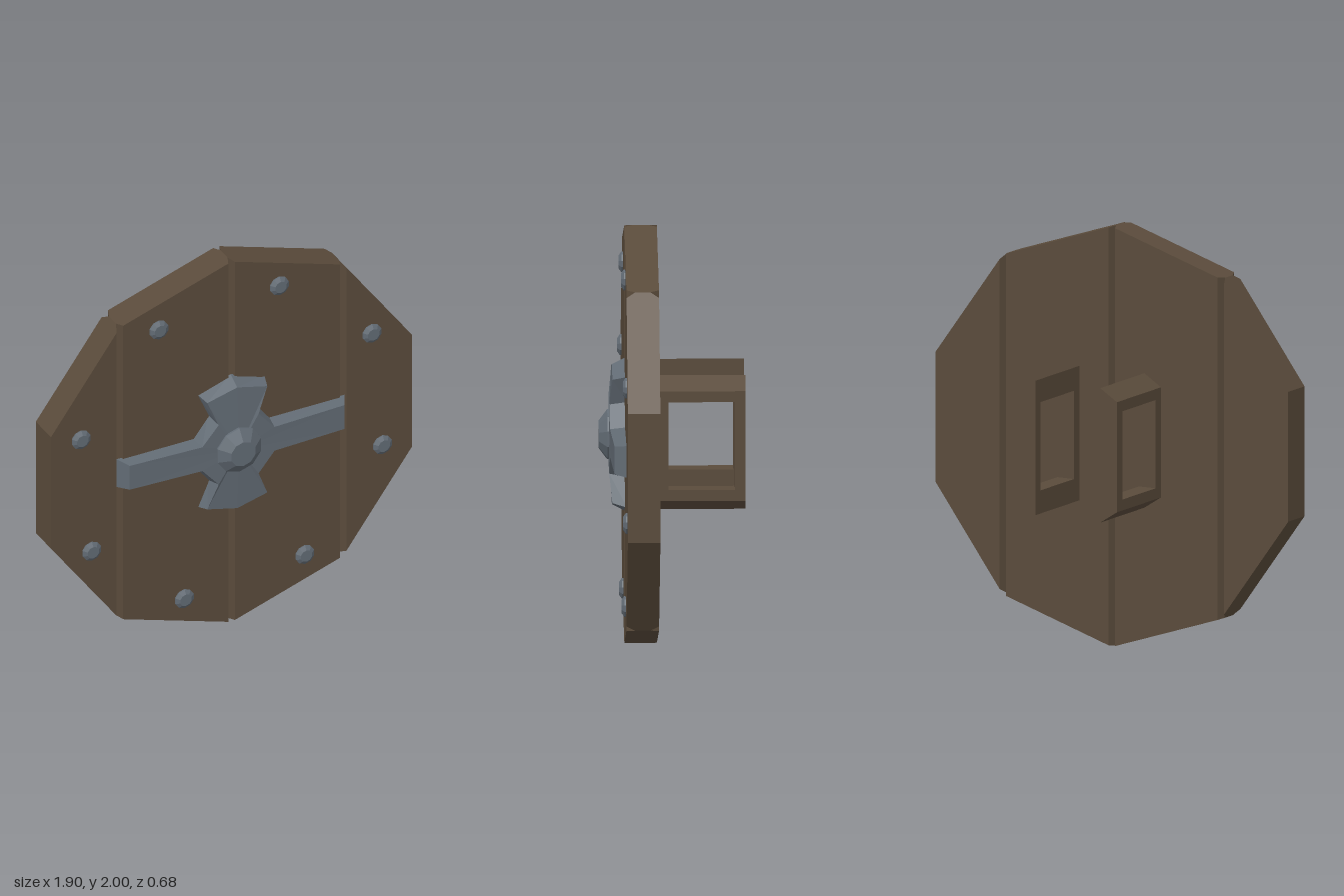
import * as THREE from 'three';

const wood = new THREE.MeshStandardMaterial({ color: 0x5a4b3b });
wood.name = 'dark wood';
const metal = new THREE.MeshStandardMaterial({ color: 0x626b74 });
metal.name = 'iron';

const BACK = 0.07, FRONT = 0.222, MID = (BACK + FRONT) / 2, HALF = (FRONT - BACK) / 2;
const RIM = [0, 1, 2].map((k) => Math.sin((k * Math.PI) / 5)); // rim corners: 0, 0.588, 0.951
const RIM_Y = [1, 0.809, 0.309];

// Hard-edged mesh from any geometry
function part(name, geometry, material) {
  const g = geometry.index ? geometry.toNonIndexed() : geometry;
  g.computeVertexNormals();
  const mesh = new THREE.Mesh(g, material);
  mesh.name = name;
  return mesh;
}

function moveVertices(geometry, rule) {
  const p = geometry.attributes.position;
  const v = new THREE.Vector3();
  for (let i = 0; i < p.count; i++) {
    rule(v.fromBufferAttribute(p, i));
    p.setXYZ(i, v.x, v.y, v.z);
  }
  return geometry;
}

const polygon = (pts) => pts.map(([x, y]) => new THREE.Vector2(x, y));

// Half height of the ten-sided outline at x
function rimHeight(x) {
  const a = Math.abs(x);
  const k = a <= RIM[1] ? 0 : 1;
  return THREE.MathUtils.lerp(RIM_Y[k], RIM_Y[k + 1], (a - RIM[k]) / (RIM[k + 1] - RIM[k]));
}

// Plank with edges bevelled front and back; its ends follow the rim
function plank(k, side) {
  const c = 0.017, t = 0.035, a = RIM[k], b = RIM[k + 1];
  const pts = [[a, -t], [a + c, -HALF]];
  if (k === 0) pts.push([b - c, -HALF], [b, -t], [b, t], [b - c, HALF]);
  else pts.push([b, -HALF], [b, HALF]);
  pts.push([a + c, HALF], [a, t]);
  const shape = new THREE.Shape(polygon(pts.map(([x, z]) => [x * side, z])));
  const g = new THREE.ExtrudeGeometry(shape, { depth: 1, bevelEnabled: false });
  g.rotateX(-Math.PI / 2);
  moveVertices(g, (v) => {
    v.y = 1 + (v.y > 0.5 ? 1 : -1) * rimHeight(v.x);
    v.z += MID;
  });
  return part('plank', g, wood);
}

// Square loop handle, shorter on its outer face
function handle(side) {
  const near = 0.175, width = 0.09;
  const shape = new THREE.Shape(polygon([[-BACK, 0.68], [0.34, 0.68], [0.34, 1.32], [-BACK, 1.32]]));
  shape.holes.push(new THREE.Path(polygon([[-0.02, 0.79], [-0.02, 1.21], [0.29, 1.21], [0.29, 0.79]])));
  const g = new THREE.ExtrudeGeometry(shape, { depth: width, bevelEnabled: false });
  g.rotateY(Math.PI / 2);
  g.translate(side > 0 ? near : -near - width, 0, 0);
  moveVertices(g, (v) => {
    const outer = Math.abs(v.x) > near + width / 2;
    if (outer && Math.abs(v.y - 1) > 0.25) v.y = 1 + Math.sign(v.y - 1) * 0.262;
  });
  return part('handle', g, wood);
}

// Bevelled iron cross: base outline, raised outline and a centre point
function cross() {
  const quarter = [ // base x, y, then raised x, y, z
    [0.6, 0.077, 0.565, 0.066, 0.277],
    [0.2, 0.077, 0.19, 0.066, 0.292],
    [0.12, 0.18, 0.105, 0.165, 0.294],
    [0.178, 0.312, 0.158, 0.295, 0.28],
    [0, 0.37, 0, 0.335, 0.28],
  ];
  const mirrored = quarter.slice(0, 4).reverse().map(([x, y, u, v, z]) => [-x, y, -u, v, z]);
  const half = [...quarter, ...mirrored];
  const loop = [...half, ...half.map(([x, y, u, v, z]) => [-x, -y, -u, -v, z])];
  const pos = [];
  loop.forEach((p, i) => {
    const q = loop[(i + 1) % loop.length];
    const p0 = [p[0], p[1] + 1, FRONT - 0.01], q0 = [q[0], q[1] + 1, FRONT - 0.01];
    const p1 = [p[2], p[3] + 1, p[4]], q1 = [q[2], q[3] + 1, q[4]];
    pos.push(...p0, ...q0, ...q1, ...p0, ...q1, ...p1, 0, 1, 0.298, ...p1, ...q1);
  });
  const g = new THREE.BufferGeometry();
  g.setAttribute('position', new THREE.Float32BufferAttribute(pos, 3));
  return part('ironCross', g, metal);
}

// Tapered stud pointing forward
function stud(name, x, y, z0, z1, rTop, rBase) {
  const g = new THREE.CylinderGeometry(rTop, rBase, z1 - z0, 10);
  g.rotateX(Math.PI / 2);
  g.translate(x, y, (z0 + z1) / 2);
  return part(name, g, metal);
}

export function createModel() {
  const model = new THREE.Group();
  model.name = 'shield';

  for (const side of [-1, 1]) {
    model.add(plank(0, side), plank(1, side), handle(side));
  }

  model.add(cross());
  model.add(stud('bossBase', 0, 1, 0.28, 0.302, 0.12, 0.12));
  model.add(stud('boss', 0, 1, 0.302, 0.342, 0.066, 0.12));

  // Ring of eight rivets
  for (let i = 0; i < 8; i++) {
    const a = THREE.MathUtils.degToRad(27.5 + i * 45);
    const x = 0.832 * Math.cos(a), y = 1 + 0.832 * Math.sin(a);
    const rivet = new THREE.Group();
    rivet.name = 'rivet';
    rivet.add(stud('rivetBase', x, y, FRONT - 0.005, FRONT + 0.007, 0.05, 0.05));
    rivet.add(stud('rivetHead', x, y, FRONT + 0.007, FRONT + 0.02, 0.031, 0.05));
    model.add(rivet);
  }
  return model;
}
